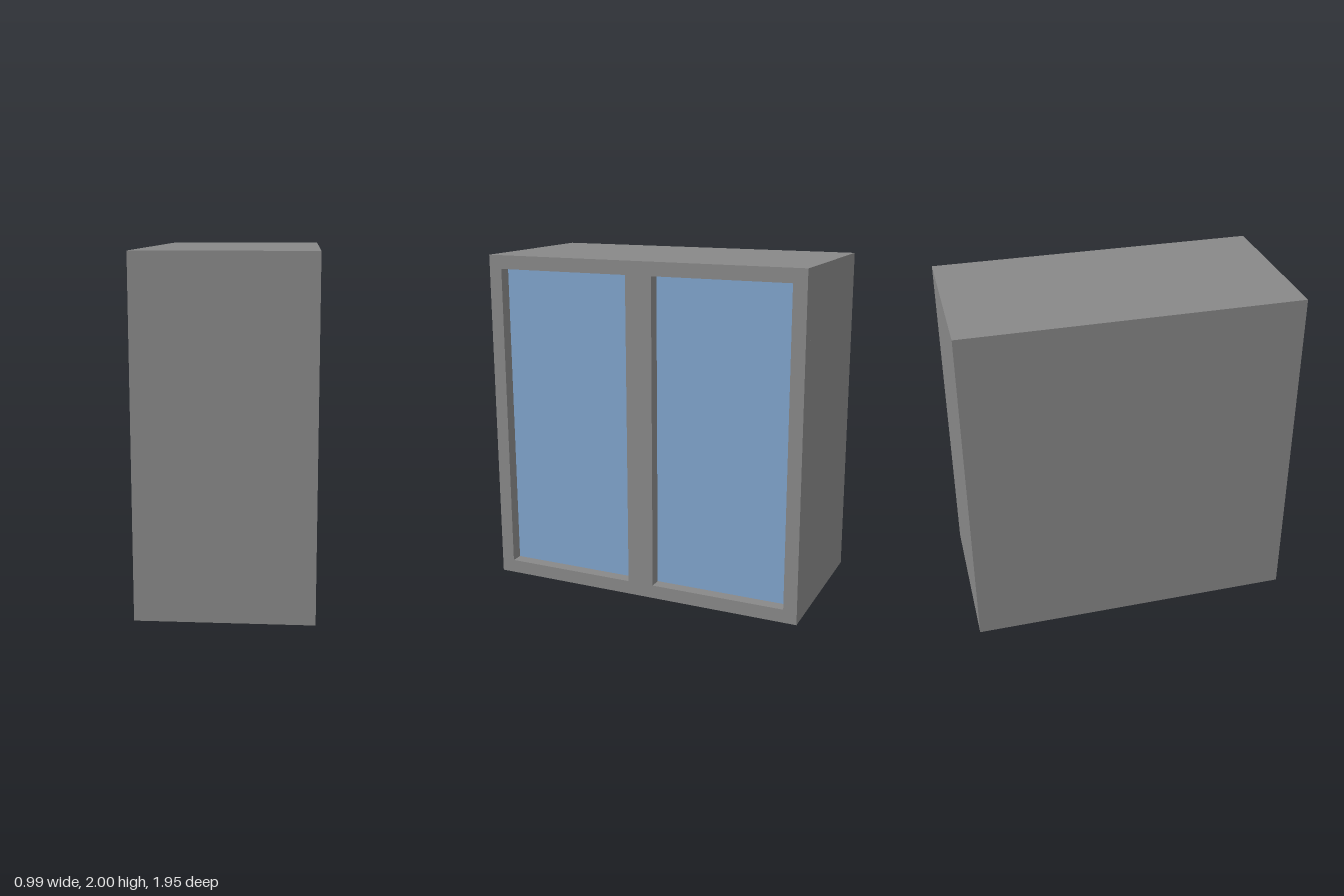
import * as THREE from 'three';

const WIDTH = 0.99, HEIGHT = 2, LENGTH = 1.946;
const BORDER = 0.08, RECESS = 0.08, PANE = 0.008;

export function createModel() {
  const group = new THREE.Group();
  const casing = new THREE.MeshStandardMaterial({ color: 0x888888 });
  casing.name = 'grey casing';
  const glass = new THREE.MeshStandardMaterial({ color: 0x80a4cc });
  glass.name = 'blue glass';

  const add = (name, geometry, material, x, y, z) => {
    const mesh = new THREE.Mesh(geometry, material);
    mesh.name = name;
    mesh.position.set(x, y, z);
    group.add(mesh);
    return mesh;
  };

  // Solid body behind the recessed face
  const depth = WIDTH - RECESS;
  const faceX = WIDTH / 2 - RECESS;
  add('body', new THREE.BoxGeometry(depth, HEIGHT, LENGTH), casing, -RECESS / 2, HEIGHT / 2, 0);

  // Frame with two tall openings, turned to face +x
  const rect = (path, x0, x1, y0, y1) =>
    path.moveTo(x0, y0).lineTo(x1, y0).lineTo(x1, y1).lineTo(x0, y1).closePath();
  const outline = rect(new THREE.Shape(), -LENGTH / 2, LENGTH / 2, 0, HEIGHT);
  const inner = BORDER, outer = LENGTH / 2 - BORDER;
  outline.holes.push(
    rect(new THREE.Path(), inner, outer, BORDER, HEIGHT - BORDER),
    rect(new THREE.Path(), -outer, -inner, BORDER, HEIGHT - BORDER)
  );
  const frame = new THREE.ExtrudeGeometry(outline, { depth: RECESS, bevelEnabled: false });
  frame.rotateY(Math.PI / 2);
  add('frame', frame, casing, faceX, 0, 0);

  // Glass panes at the back of the openings
  const pane = new THREE.BoxGeometry(PANE, HEIGHT - 2 * BORDER, outer - inner);
  for (const [side, name] of [[1, 'frontPane'], [-1, 'backPane']]) {
    add(name, pane, glass, faceX + PANE / 2, HEIGHT / 2, side * (inner + outer) / 2);
  }
  return group;
}
